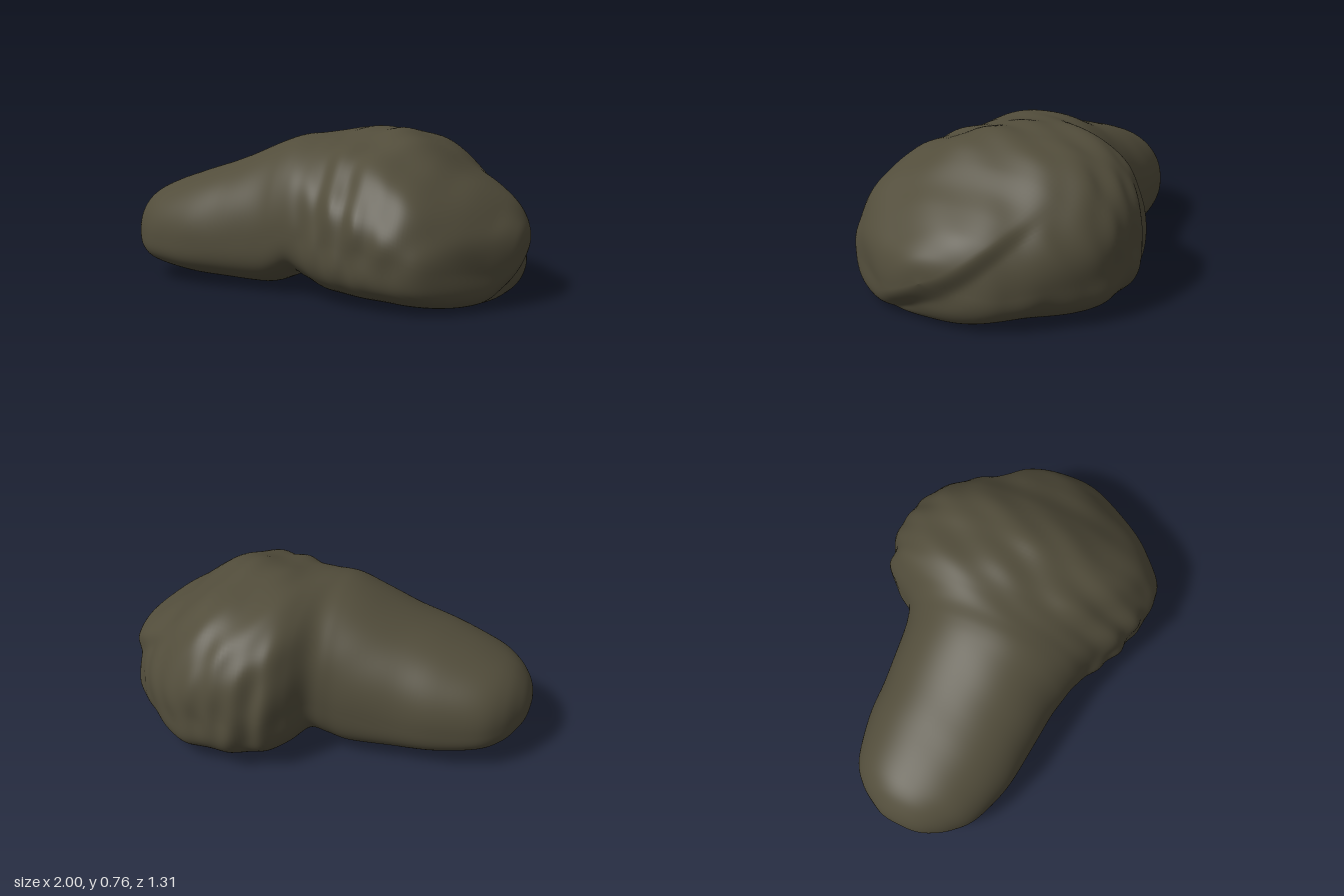
import * as THREE from 'three';

// Cross-sections along the stone: x, bottom y, top y, back z, front z
const SECTIONS = [
  [-1, .24, .24, .03, .03], [-.99, .19, .3, -.06, .11], [-.96, .145, .36, -.13, .18],
  [-.9, .1, .42, -.22, .26], [-.8, .07, .47, -.295, .34], [-.6, .04, .54, -.345, .405],
  [-.4, .027, .605, -.36, .425], [-.2, .02, .69, -.38, .44], [-.1, .05, .722, -.395, .46],
  [-.02, .088, .73, -.43, .48], [.05, .065, .74, -.535, .505], [.12, .045, .75, -.6, .53],
  [.2, .03, .757, -.62, .57], [.3, .022, .755, -.65, .605], [.4, .015, .755, -.635, .63],
  [.5, .012, .725, -.625, .645], [.6, .006, .665, -.58, .645], [.7, .004, .585, -.5, .605],
  [.8, .006, .52, -.405, .51], [.9, .025, .44, -.28, .365], [.96, .08, .37, -.18, .25],
  [.99, .15, .31, -.06, .16], [1, .23, .23, .06, .06],
];
const smooth = THREE.MathUtils.smoothstep;

// Weathered bumps built from crossing waves
function bumps(x, y, z) {
  return 0.3 * Math.sin(9 * x + 5 * y + 3 * Math.sin(4 * z))
    + 0.35 * Math.sin(14 * z - 8 * y + 2 * Math.sin(7 * x))
    + 0.35 * Math.sin(22 * y + 13 * x - 9 * z)
    + 0.3 * Math.sin(31 * x + 17 * z + 2 * Math.sin(11 * y));
}

function stoneGeometry() {
  const heights = new THREE.CatmullRomCurve3(
    SECTIONS.map(([x, b, t]) => new THREE.Vector3(x, b, t)), false, 'catmullrom', 0.5);
  const widths = new THREE.CatmullRomCurve3(
    SECTIONS.map(([x, , , b, f]) => new THREE.Vector3(x, b, f)), false, 'catmullrom', 0.5);
  const rows = (SECTIONS.length - 1) * 6, cols = 144;
  const positions = [], index = [];

  for (let i = 0; i <= rows; i++) {
    const { x, y: low, z: high } = heights.getPoint(i / rows);
    const { y: back, z: front } = widths.getPoint(i / rows);
    const mid = low + (high - low) * 0.36, cz = (back + front) / 2, half = (front - back) / 2;
    const lobe = smooth(x, -0.08, 0.2);
    const ends = smooth(1 - Math.abs(x), 0, 0.12);

    for (let j = 0; j < cols; j++) {
      const a = (j / cols) * Math.PI * 2, c = Math.cos(a), s = Math.sin(a);
      // Rounded above, squarer and flat below, softer at the rear of the blunt end
      const softer = c < 0 ? 2 * smooth(x, 0.5, 0.8) : 0;
      const n = s > 0 ? 2.15 : 3.3 + lobe - softer;
      const r = Math.pow(Math.abs(c) ** n + Math.abs(s) ** n, -1 / n);
      const up = r * s;
      let px = x;
      let py = mid + up * (s > 0 ? high - mid : mid - low);
      let pz = cz + half * r * c;
      if (s > 0) pz -= 0.07 * lobe * ends * up * up;

      // Rough surface on the broad lobe, gentle undulation on the tail
      const flat = smooth(py, 0.01, 0.2);
      const d = bumps(px, py, pz) * (0.001 + 0.011 * lobe) * ends * flat;
      // Upright folds on the flanks of the lobe
      const fold = 0.007 * lobe * smooth(0.6 - x, 0, 0.3) * Math.abs(c) * flat
        * Math.sin(48 * x + 6 * py);
      pz += (d + fold) * c;
      py += d * s;

      // Slanted ledge across the blunt end, fading out towards the ground
      const edge = 0.24 - 0.45 * pz + (pz < 0 ? 1.2 * pz * pz : 0);
      const under = (1 - smooth(py, edge - 0.1, edge + 0.02)) * smooth(py, 0, edge - 0.08);
      const reach = smooth(pz, -0.55, -0.25) * (1 - smooth(pz, 0.2, 0.4));
      px -= 0.035 * under * reach * smooth(x, 0.6, 0.88);
      positions.push(px, Math.max(py, 0), pz);
    }
  }
  for (let i = 0; i < rows; i++) {
    for (let j = 0; j < cols; j++) {
      const k = (j + 1) % cols;
      const p = i * cols + j, q = p + cols, u = i * cols + k, v = u + cols;
      index.push(p, q, u, q, v, u);
    }
  }
  const geometry = new THREE.BufferGeometry();
  geometry.setAttribute('position', new THREE.Float32BufferAttribute(positions, 3));
  geometry.setIndex(index);
  geometry.computeVertexNormals();
  return geometry;
}

export function createModel() {
  const group = new THREE.Group();
  group.name = 'boulder';
  const stone = new THREE.MeshStandardMaterial({ color: 0x524d3b });
  stone.name = 'olive stone';
  const body = new THREE.Mesh(stoneGeometry(), stone);
  body.name = 'stoneBody';
  group.add(body);
  return group;
}
